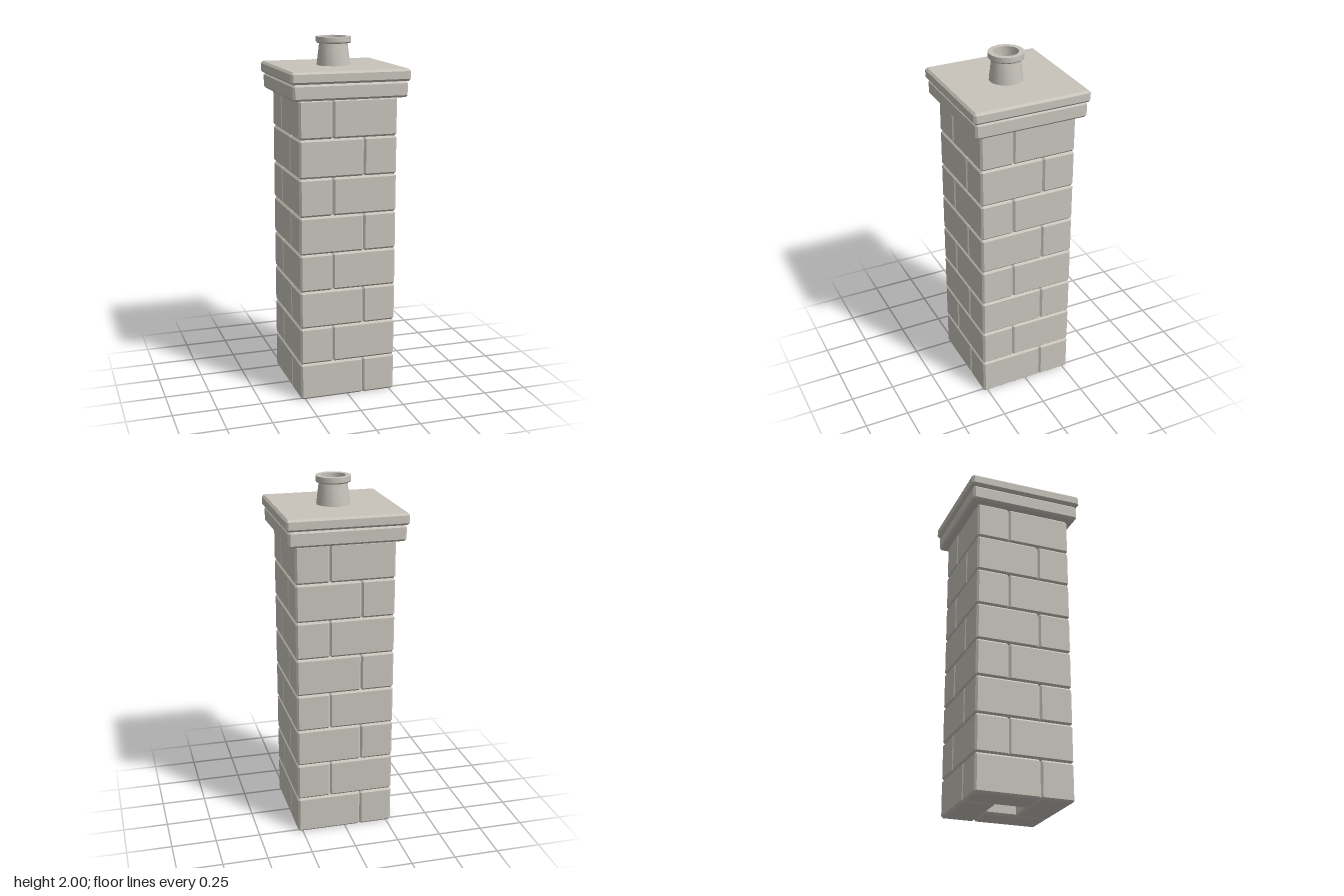
import * as THREE from 'three';
import { ConvexGeometry } from 'three/addons/geometries/ConvexGeometry.js';
import { toCreasedNormals } from 'three/addons/utils/BufferGeometryUtils.js';

// Box with every edge and corner cut by a flat chamfer c
function chamferBox(w, h, d, c) {
  const points = [];
  const [x, y, z] = [w / 2, h / 2, d / 2];
  for (const sx of [-1, 1]) for (const sy of [-1, 1]) for (const sz of [-1, 1]) {
    points.push(
      new THREE.Vector3(sx * x, sy * (y - c), sz * (z - c)),
      new THREE.Vector3(sx * (x - c), sy * y, sz * (z - c)),
      new THREE.Vector3(sx * (x - c), sy * (y - c), sz * z));
  }
  return new ConvexGeometry(points);
}

export function createModel() {
  const model = new THREE.Group();
  model.name = 'chimney';
  const stone = new THREE.MeshStandardMaterial({ color: 0xc8c4bc });
  stone.name = 'pale stone';

  // Brick stack: four bricks pinwheel round a hollow flue, mirrored each course
  const half = 0.276, joint = 0.088, courses = 8, courseHeight = 0.2115;
  const brickGeometry = chamferBox(half + joint, courseHeight, half - joint, 0.011);
  for (let i = 0; i < courses; i++) {
    const course = new THREE.Group();
    course.name = 'brickCourse' + (i + 1);
    const side = i % 2 === 0 ? -1 : 1;
    for (let k = 0; k < 4; k++) {
      const pivot = new THREE.Group();
      pivot.name = 'brickSide' + (k + 1);
      pivot.rotation.y = k * Math.PI / 2;
      const brick = new THREE.Mesh(brickGeometry, stone);
      brick.name = 'brick';
      brick.position.set(side * (half - joint) / 2, 0, (half + joint) / 2);
      pivot.add(brick);
      course.add(pivot);
    }
    course.position.y = (i + 0.5) * courseHeight;
    model.add(course);
  }

  // Two overhanging cap slabs
  const slabs = [['lowerCap', 0.64, 1.692, 1.78], ['upperCap', 0.664, 1.78, 1.845]];
  for (const [name, width, bottom, top] of slabs) {
    const slab = new THREE.Mesh(chamferBox(width, top - bottom, width, 0.012), stone);
    slab.name = name;
    slab.position.y = (bottom + top) / 2;
    model.add(slab);
  }

  // Tapered, open pot with a rim lip
  const profile = [
    [0.094, 1.843], [0.079, 1.965], [0.092, 1.965], [0.098, 1.972],
    [0.098, 2], [0.069, 2], [0.067, 1.843],
  ].map(([r, y]) => new THREE.Vector2(r, y));
  const potGeometry = toCreasedNormals(new THREE.LatheGeometry(profile, 14), Math.PI / 6);
  const pot = new THREE.Mesh(potGeometry, stone);
  pot.name = 'chimneyPot';
  pot.rotation.y = Math.PI / 2;
  model.add(pot);

  return model;
}
